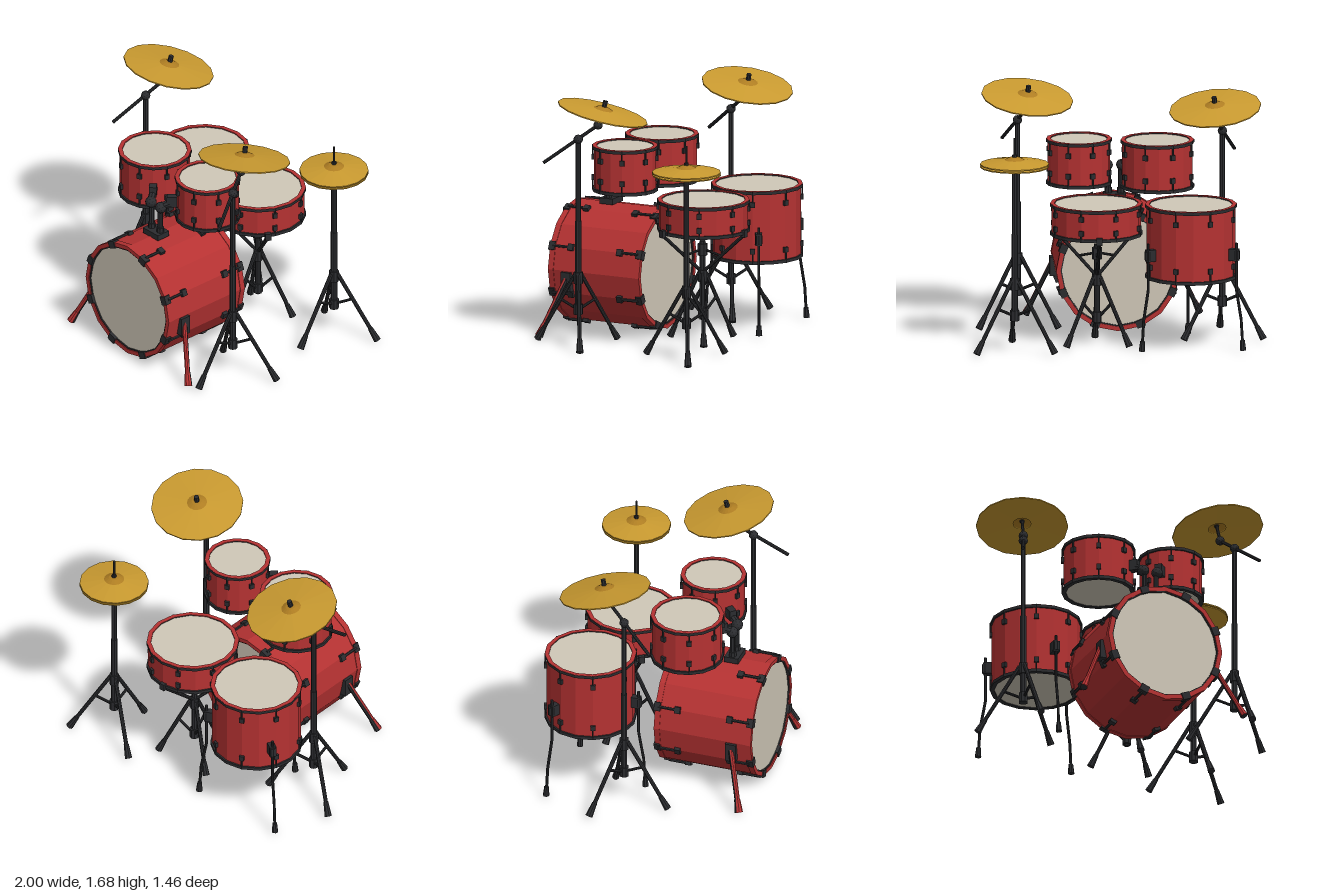
import * as THREE from 'three';

const mat = (color) => new THREE.MeshStandardMaterial({ color, flatShading: true, side: THREE.DoubleSide });
const RED = mat(0xb53232), DARK = mat(0x2b2c2f), GOLD = mat(0xc99a30), SKIN = mat(0xd0c8b8), BELL = mat(0xae7d22);
const V = (x, y, z) => new THREE.Vector3(x, y, z);
const TAU = Math.PI * 2;

function add(parent, name, geo, material, x = 0, y = 0, z = 0) {
  const m = new THREE.Mesh(geo, material);
  m.name = name;
  m.position.set(x, y, z);
  parent.add(m);
  return m;
}
function group(parent, name, x = 0, y = 0, z = 0) {
  const g = new THREE.Group();
  g.name = name;
  g.position.set(x, y, z);
  parent.add(g);
  return g;
}
const box = (p, name, w, h, d, x, y, z, m = DARK) => add(p, name, new THREE.BoxGeometry(w, h, d), m, x, y, z);
const cyl = (p, name, r, y0, y1, m = DARK, n = 8, x = 0, z = 0) =>
  add(p, name, new THREE.CylinderGeometry(r, r, y1 - y0, n), m, x, (y0 + y1) / 2, z);
// straight bar between two points, ra at a and rb at b
function rod(p, name, a, b, ra, rb = ra, m = DARK) {
  const d = b.clone().sub(a);
  const mesh = add(p, name, new THREE.CylinderGeometry(rb, ra, d.length(), 8), m);
  mesh.position.copy(a).addScaledVector(d, 0.5);
  mesh.quaternion.setFromUnitVectors(V(0, 1, 0), d.normalize());
  return mesh;
}
const lathe = (pts, n = 16) => new THREE.LatheGeometry(pts.map(([r, y]) => new THREE.Vector2(r, y)), n);
const ring = (ri, ro, y0, y1) => lathe([[ri, y0], [ro, y0], [ro, y1], [ri, y1], [ri, y0]]);
// run fn n times around the y axis; local +z points outward
function around(p, name, n, start, fn) {
  for (let i = 0; i < n; i++) {
    const g = group(p, name);
    g.rotation.y = start + (i * TAU) / n;
    fn(g);
  }
}

// upright drum: shell, two hoops, two heads and eight pairs of lugs
function drum(p, name, x, z, r, y0, y1, inset) {
  const g = group(p, name, x, y0, z), h = y1 - y0;
  add(g, 'shell', new THREE.CylinderGeometry(r - 0.012, r - 0.012, h - 0.02, 16, 1, true), RED, 0, h / 2, 0);
  add(g, 'topHoop', ring(r - 0.03, r, h - 0.022, h - 0.002), DARK);
  add(g, 'hoopCap', ring(r - 0.03, r - 0.002, h - 0.006, h), RED);
  add(g, 'bottomHoop', ring(r - 0.03, r, 0, 0.022), DARK);
  cyl(g, 'topHead', r - 0.028, h - 0.018, h - 0.008, SKIN, 16);
  cyl(g, 'bottomHead', r - 0.028, 0.006, 0.016, SKIN, 16);
  around(g, 'lugs', 8, Math.PI / 8, (l) => {
    for (const [edge, s] of [[0, 1], [h, -1]]) {
      const ly = edge + s * inset;
      box(l, 'lug', 0.032, 0.035, 0.03, 0, ly, r - 0.012);
      cyl(l, 'tensionRod', 0.006, Math.min(edge, ly), Math.max(edge, ly), DARK, 6, 0, r - 0.005);
    }
  });
  return g;
}

function bassDrum(p) {
  const g = group(p, 'bassDrum', -0.015, 0.438, 0.03), L = 0.69, r = 0.415;
  g.rotation.x = Math.PI / 2;
  add(g, 'shell', new THREE.CylinderGeometry(r - 0.004, r - 0.004, L - 0.02, 16, 1, true), RED, 0, L / 2, 0);
  for (const [edge, s] of [[0, 1], [L, -1]]) {
    add(g, 'hoop', ring(r - 0.03, r, Math.min(edge, edge + s * 0.04), Math.max(edge, edge + s * 0.04)), RED);
    add(g, 'hoopLining', ring(r - 0.038, r - 0.03, edge + s * 0.006, edge + s * 0.03), DARK);
    cyl(g, 'head', r - 0.03, edge + s * 0.02 - 0.005, edge + s * 0.02 + 0.005, SKIN, 16);
    around(g, 'tension', 8, Math.PI / 8, (l) => {
      box(l, 'claw', 0.06, 0.045, 0.05, 0, edge + s * 0.015, r - 0.02);
      const a = edge + s * 0.02, b = edge + s * 0.16;
      cyl(l, 'tensionRod', 0.01, Math.min(a, b), Math.max(a, b), DARK, 6, 0, r + 0.004);
      box(l, 'lug', 0.045, 0.04, 0.04, 0, b, r - 0.005);
    });
  }
  // spurs
  for (const s of [-1, 1]) {
    const at = (x, y, z) => V(-0.015 + s * x, y, z), top = at(0.405, 0.41, 0.57), foot = at(0.585, 0.012, 0.695);
    const knee = top.clone().lerp(foot, 0.8), off = V(0, 0.002, 0.005);
    box(p, 'spurBracket', 0.05, 0.13, 0.075, -0.015 + s * 0.405, 0.365, 0.58);
    rod(p, 'spur', top, knee, 0.016);
    rod(p, 'spurFoot', knee, foot, 0.018, 0.026);
    rod(p, 'spurFace', top.clone().add(off), knee.clone().add(off), 0.0155, 0.0155, RED);
    rod(p, 'spurFootFace', knee.clone().add(off), foot.clone().add(off), 0.0175, 0.0255, RED);
  }
}

// three spread legs with rubber feet and braces; start turns the first leg from +z
function tripod(p, reach, start, top = 0.48, hub = 0.25) {
  cyl(p, 'upperCollar', 0.032, top - 0.06, top + 0.02);
  cyl(p, 'lowerCollar', 0.032, hub - 0.04, hub + 0.03);
  around(p, 'leg', 3, start, (l) => {
    const a = V(0, top, 0.025), f = V(0, 0.012, reach), k = a.clone().lerp(f, 0.82);
    rod(l, 'legTube', a, k, 0.014);
    rod(l, 'rubberFoot', k, f, 0.017, 0.025);
    rod(l, 'brace', V(0, hub, 0.02), a.clone().lerp(f, 0.38), 0.01);
  });
}

const cymbalGeo = (r, h) => lathe([[0.06, h * 0.62], [r, 0.004], [r, -0.004], [0.06, h * 0.62 - 0.008]]);
function cymbal(p, name, r, h) {
  const g = group(p, name);
  add(g, 'bow', cymbalGeo(r, h), GOLD);
  add(g, 'bell', lathe([[0, h], [0.035, h * 0.92], [0.068, h * 0.6]]), BELL);
  return g;
}

// boom cymbal stand; s mirrors it across x
function crashStand(p, name, x, z, s) {
  const g = group(p, name, x, 0, z);
  tripod(g, 0.31, 0);
  cyl(g, 'pole', 0.022, 0.21, 0.85);
  cyl(g, 'upperPole', 0.018, 0.85, 1.41);
  add(g, 'boomJoint', new THREE.IcosahedronGeometry(0.032, 1), DARK, 0, 1.41, 0);
  const tip = V(-s * 0.053, 1.51, -0.123), c = V(-s * 0.057, 1.595, -0.155);
  rod(g, 'boom', V(s * 0.092, 1.245, 0.215), tip, 0.012);
  add(g, 'tilter', new THREE.IcosahedronGeometry(0.032, 1), DARK, tip.x, tip.y, tip.z);
  const n = V(-s * 0.1, 1, -0.22).normalize();
  rod(g, 'cymbalPost', tip, c.clone().addScaledVector(n, 0.05), 0.011);
  rod(g, 'wingNut', c.clone().addScaledVector(n, 0.035), c.clone().addScaledVector(n, 0.085), 0.017);
  const cy = cymbal(g, 'crashCymbal', 0.31, 0.045);
  cy.position.copy(c);
  cy.quaternion.setFromUnitVectors(V(0, 1, 0), n);
}

export function createModel() {
  const root = new THREE.Group();
  root.name = 'drumKit';
  bassDrum(root);
  drum(root, 'rackTomRight', -0.29, 0.22, 0.248, 0.968, 1.295, 0.085);
  drum(root, 'rackTomLeft', 0.237, 0.22, 0.222, 1.0, 1.31, 0.085);
  drum(root, 'snare', 0.15, -0.33, 0.312, 0.762, 0.978, 0.06);
  const floorTom = drum(root, 'floorTom', -0.482, -0.4, 0.31, 0.478, 0.978, 0.09);

  // floor tom legs, bent outward toward the feet
  around(floorTom, 'tomLeg', 3, 0, (l) => {
    const path = [[0.74, 0.342], [0.42, 0.342], [0.22, 0.378], [0.07, 0.388]].map(([y, z]) => V(0, y - 0.478, z));
    for (let i = 0; i < 3; i++) rod(l, 'legRod', path[i], path[i + 1], 0.01);
    rod(l, 'rubberFoot', path[3].clone().setY(-0.4), V(0, -0.468, 0.392), 0.016, 0.022);
    box(l, 'legBracket', 0.045, 0.08, 0.06, 0, 0.18, 0.325);
    cyl(l, 'legClamp', 0.024, 0.15, 0.21, DARK, 8, 0, 0.342);
  });

  // double tom holder on the bass drum
  const holder = group(root, 'tomHolder', -0.015, 0, 0.46);
  box(holder, 'basePlate', 0.15, 0.04, 0.1, 0, 0.865, 0);
  for (const s of [-1, 1]) {
    cyl(holder, 'post', 0.018, 0.87, 1.08, DARK, 8, s * 0.042, 0);
    cyl(holder, 'postCollar', 0.026, 0.88, 0.92, DARK, 8, s * 0.042, 0);
    add(holder, 'knuckle', new THREE.IcosahedronGeometry(0.04, 1), DARK, s * 0.05, 1.075, 0);
    rod(holder, 'arm', V(s * 0.05, 1.085, 0), V(s * 0.115, 1.13, -0.09), 0.025);
    box(holder, 'tomBracket', 0.07, 0.075, 0.05, s * 0.095, 1.125, -0.06).rotation.y = s * 0.8;
  }

  crashStand(root, 'crashStandRight', -0.711, -0.08, -1);
  crashStand(root, 'crashStandLeft', 0.642, 0.36, 1);

  // hi-hat
  const hat = group(root, 'hiHat', 0.708, 0, -0.497);
  tripod(hat, 0.305, 0);
  cyl(hat, 'pole', 0.022, 0.21, 0.8);
  cyl(hat, 'upperPole', 0.019, 0.8, 1.23);
  cyl(hat, 'pullRod', 0.008, 1.2, 1.46);
  cyl(hat, 'clutch', 0.016, 1.3, 1.345);
  cymbal(hat, 'topCymbal', 0.232, 0.05).position.y = 1.281;
  const lower = cymbal(hat, 'bottomCymbal', 0.232, 0.05);
  lower.position.y = 1.265;
  lower.rotation.x = Math.PI;

  // snare stand with three basket arms
  const stand = group(root, 'snareStand', 0.145, 0, -0.32);
  tripod(stand, 0.245, 0, 0.47, 0.2);
  cyl(stand, 'pole', 0.02, 0.15, 0.69);
  cyl(stand, 'basketHub', 0.034, 0.59, 0.67);
  around(stand, 'basketArm', 3, Math.PI, (l) => {
    rod(l, 'arm', V(0, 0.49, 0.02), V(0, 0.755, 0.31), 0.012);
    rod(l, 'armBrace', V(0, 0.63, 0.02), V(0, 0.6, 0.14), 0.009);
    box(l, 'gripPad', 0.04, 0.05, 0.03, 0, 0.77, 0.316);
  });
  return root;
}
